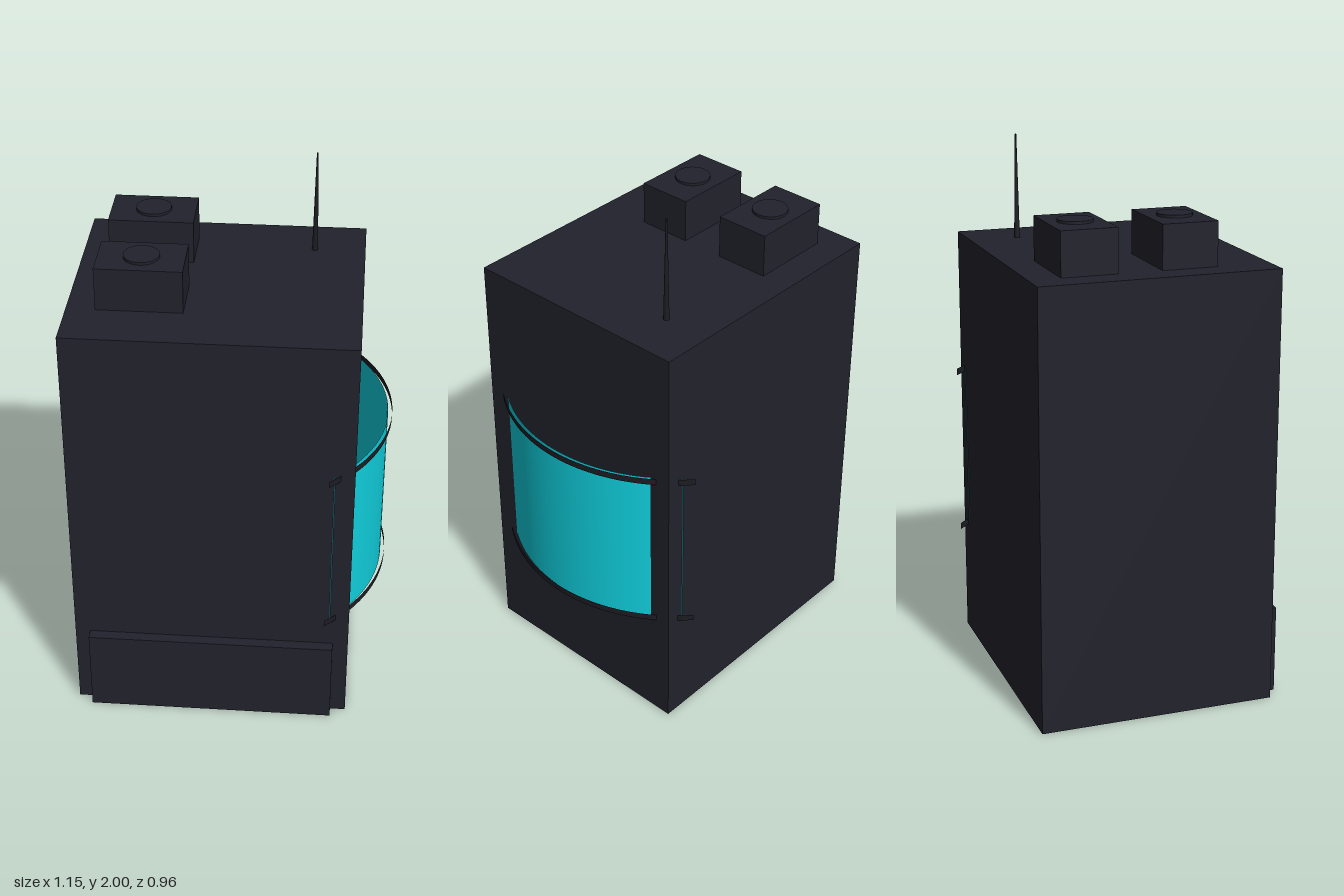
import * as THREE from 'three';

const bodyMat = new THREE.MeshStandardMaterial({ color: 0x22222d });
bodyMat.name = 'dark slate';
const trimMat = new THREE.MeshStandardMaterial({ color: 0x1c1c23, side: THREE.DoubleSide });
trimMat.name = 'black trim';
const screenMat = new THREE.MeshStandardMaterial({ color: 0x10d2e0, side: THREE.DoubleSide });
screenMat.name = 'cyan screen';

const CENTRE_X = -0.065; // axis of the curved screen

export function createModel() {
  const model = new THREE.Group();
  model.name = 'towerBlock';

  const add = (name, geometry, material, x, y, z) => {
    const mesh = new THREE.Mesh(geometry, material);
    mesh.name = name;
    mesh.position.set(x, y, z);
    model.add(mesh);
  };
  // box given by its lower and upper limits
  const box = (name, [x0, x1], [y0, y1], [z0, z1]) =>
    add(name, new THREE.BoxGeometry(x1 - x0, y1 - y0, z1 - z0), bodyMat,
      (x0 + x1) / 2, (y0 + y1) / 2, (z0 + z1) / 2);
  // open curved sheet facing +x, given by its half angle
  const arc = (name, radius, y0, y1, half, material) =>
    add(name, new THREE.CylinderGeometry(radius, radius, y1 - y0, 48, 1, true,
      Math.PI / 2 - half, half * 2), material, CENTRE_X, (y0 + y1) / 2, 0);

  // main tower and the low step along its front
  box('tower', [-0.577, 0.45], [0, 1.615], [-0.44, 0.44]);
  box('frontStep', [-0.522, 0.393], [0, 0.33], [0.43, 0.48]);

  // rooftop units, each with a round lid
  for (const z of [-0.224, 0.14]) {
    box('roofUnit', [-0.474, -0.167], [1.61, 1.775], [z - 0.102, z + 0.102]);
    add('roofUnitLid', new THREE.CylinderGeometry(0.064, 0.064, 0.02, 32), bodyMat, -0.32, 1.775, z);
  }

  // tapered antenna
  add('antenna', new THREE.CylinderGeometry(0.003, 0.011, 0.39, 12), trimMat, 0.265, 1.805, -0.26);

  // curved screen with a rail along its top and bottom
  arc('curvedScreen', 0.625, 0.45, 1.095, Math.PI / 4, screenMat);
  const railHalf = Math.asin(0.48 / 0.64);
  arc('lowerRail', 0.64, 0.445, 0.47, railHalf, trimMat);
  arc('upperRail', 0.64, 1.075, 1.1, railHalf, trimMat);

  return model;
}
